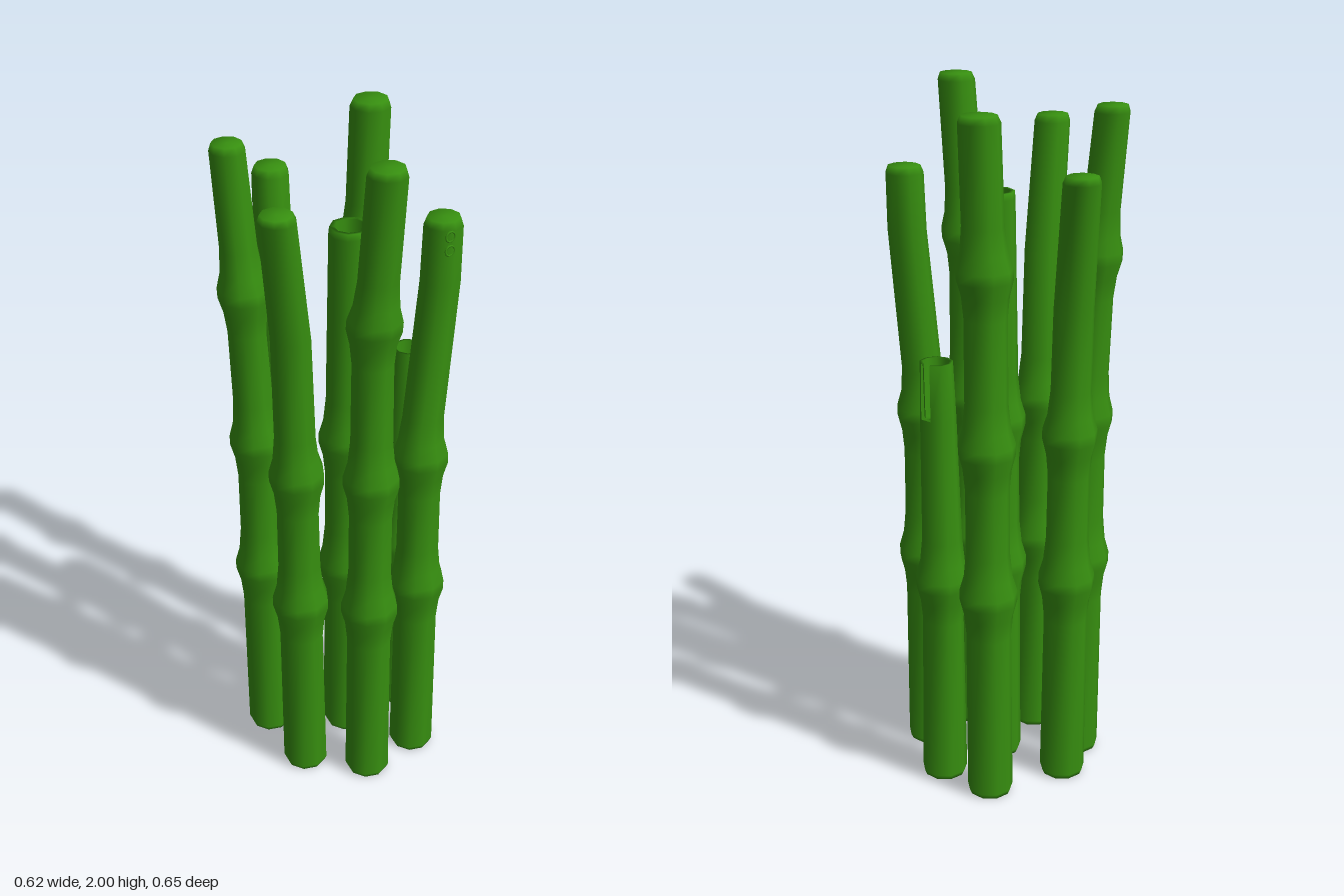
import * as THREE from 'three';

const SIDES = 9;
const green = new THREE.MeshStandardMaterial({ color: 0x378f10 });
green.name = 'bambooGreen';
const openGreen = new THREE.MeshStandardMaterial({ color: 0x378f10, side: THREE.DoubleSide });
openGreen.name = 'bambooGreenOpen';

// Skin through horizontal rings [x, y, z, r]; skip(ring, side) leaves out a panel
function skin(rings, { caps = true, closed = false, skip = () => false } = {}) {
  const pos = [], idx = [], n = rings.length;
  for (const [x, y, z, r] of rings)
    for (let i = 0; i < SIDES; i++) {
      const a = ((i - 0.2) / SIDES) * Math.PI * 2;
      pos.push(x + Math.cos(a) * r, y, z - Math.sin(a) * r);
    }
  for (let j = 0; j < (closed ? n : n - 1); j++)
    for (let i = 0; i < SIDES; i++) {
      if (skip(j, i)) continue;
      const k = (i + 1) % SIDES, m = (j + 1) % n;
      const a = j * SIDES + i, b = j * SIDES + k, c = m * SIDES + k, d = m * SIDES + i;
      idx.push(a, b, c, a, c, d);
    }
  if (caps)
    for (const [j, flip] of [[0, true], [n - 1, false]]) {
      const c = pos.length / 3;
      pos.push(rings[j][0], rings[j][1], rings[j][2]);
      for (let i = 0; i < SIDES; i++) {
        const a = j * SIDES + i, b = j * SIDES + ((i + 1) % SIDES);
        idx.push(c, ...(flip ? [b, a] : [a, b]));
      }
    }
  const g = new THREE.BufferGeometry();
  g.setAttribute('position', new THREE.Float32BufferAttribute(pos, 3));
  g.setIndex(idx);
  g.computeVertexNormals();
  return g;
}

// Point on a cane's centre line, path points are [x, y, z]
function centre(path, y) {
  let i = 0;
  while (i < path.length - 2 && y > path[i + 1][1]) i++;
  const [a, b] = [path[i], path[i + 1]];
  const t = (y - a[1]) / (b[1] - a[1]);
  return [a[0] + (b[0] - a[0]) * t, y, a[2] + (b[2] - a[2]) * t];
}

// Outer rings of a cane: slow taper with a swollen joint at each node height
function caneRings(path, nodes, topR, baseR = 0.066) {
  const h = path[path.length - 1][1];
  const radius = (y) => baseR + (topR - baseR) * Math.pow(y / h, 1.5);
  const ring = (y, r) => [...centre(path, y), r];
  const rings = [ring(0, baseR * 0.9), ring(0.015, baseR)];
  for (const y of nodes) {
    const r = radius(y);
    rings.push(ring(y - 0.12, r), ring(y - 0.06, r + 0.006), ring(y - 0.015, r + 0.018),
      ring(y + 0.015, r + 0.018), ring(y + 0.06, r + 0.005), ring(y + 0.13, r - 0.002));
  }
  // extra rings where a bare stretch bends
  for (const p of path.slice(1, -1))
    if (p[1] > rings[rings.length - 1][1]) rings.push([...p, radius(p[1])]);
  rings.push(ring(h - 0.02, topR));
  return rings;
}

export function createModel() {
  const model = new THREE.Group();
  model.name = 'bambooBundle';
  const add = (name, geometry, material = green) => {
    const mesh = new THREE.Mesh(geometry, material);
    mesh.name = name;
    model.add(mesh);
    return mesh;
  };

  // Solid canes: name, centre line, node heights, top radius
  const canes = [
    ['frontCane', [[-0.03, 0, 0.225], [-0.03, 1.5, 0.23], [-0.025, 2, 0.278]], [0.62, 1.06, 1.55], 0.053],
    ['frontLeftCane', [[0.15, 0, 0.2], [0.155, 1.15, 0.2], [0.2, 1.6, 0.2], [0.205, 1.78, 0.2]], [0.62, 1.06], 0.053],
    ['backLeftCane', [[0.19, 0, -0.165], [0.2, 1.5, -0.165], [0.225, 1.97, -0.175]], [0.62, 1.06, 1.55], 0.057],
    ['frontRightCane', [[-0.17, 0, 0.095], [-0.19, 1.06, 0.1], [-0.205, 1.5, 0.105], [-0.262, 1.88, 0.14]], [0.62, 1.06], 0.051],
    ['backRightCane', [[-0.17, 0, -0.115], [-0.19, 1.06, -0.115], [-0.21, 1.55, -0.13], [-0.226, 1.95, -0.165]], [0.62, 1.06, 1.53], 0.049],
    ['backCane', [[-0.045, 0, -0.205], [-0.055, 1.06, -0.21], [-0.06, 1.42, -0.215], [-0.032, 1.8, -0.278]], [0.62, 1.06], 0.052],
  ];
  for (const [name, path, nodes, topR] of canes) {
    const rings = caneRings(path, nodes, topR);
    rings.push([...path[path.length - 1], topR * 0.85]);
    add(name, skin(rings));
  }

  // Centre cane: a pipe open from end to end
  const midPath = [[0.033, 0, 0.01], [0.033, 1.06, 0.01], [0.036, 1.72, 0.014]];
  const midRings = caneRings(midPath, [0.62, 1.06], 0.057, 0.07);
  midRings.push([...midPath[2], 0.055], [...midPath[2], 0.043], [0.033, 0.9, 0.01, 0.043], [...midPath[0], 0.045]);
  add('centreCane', skin(midRings, { caps: false, closed: true }));

  // Short cane: hollow top with one panel broken out of its rim
  const shortPath = [[0.235, 0, 0], [0.235, 0.75, 0], [0.247, 1.28, -0.002]];
  const shortRings = caneRings(shortPath, [0.62], 0.047);
  shortRings.pop();
  const slot = shortRings.length;
  shortRings.push([...centre(shortPath, 1.12), 0.051], [...shortPath[2], 0.046],
    [...shortPath[2], 0.038], [...centre(shortPath, 1.12), 0.038]);
  add('shortCane', skin(shortRings, { skip: (j, i) => j >= slot && i === 0 }), openGreen);

  // Small double knot near the top of the front left cane
  for (const y of [1.705, 1.745]) {
    const knot = add('knotRing', new THREE.TorusGeometry(0.014, 0.003, 5, 10));
    knot.position.set(0.19, y, 0.251);
  }
  return model;
}
